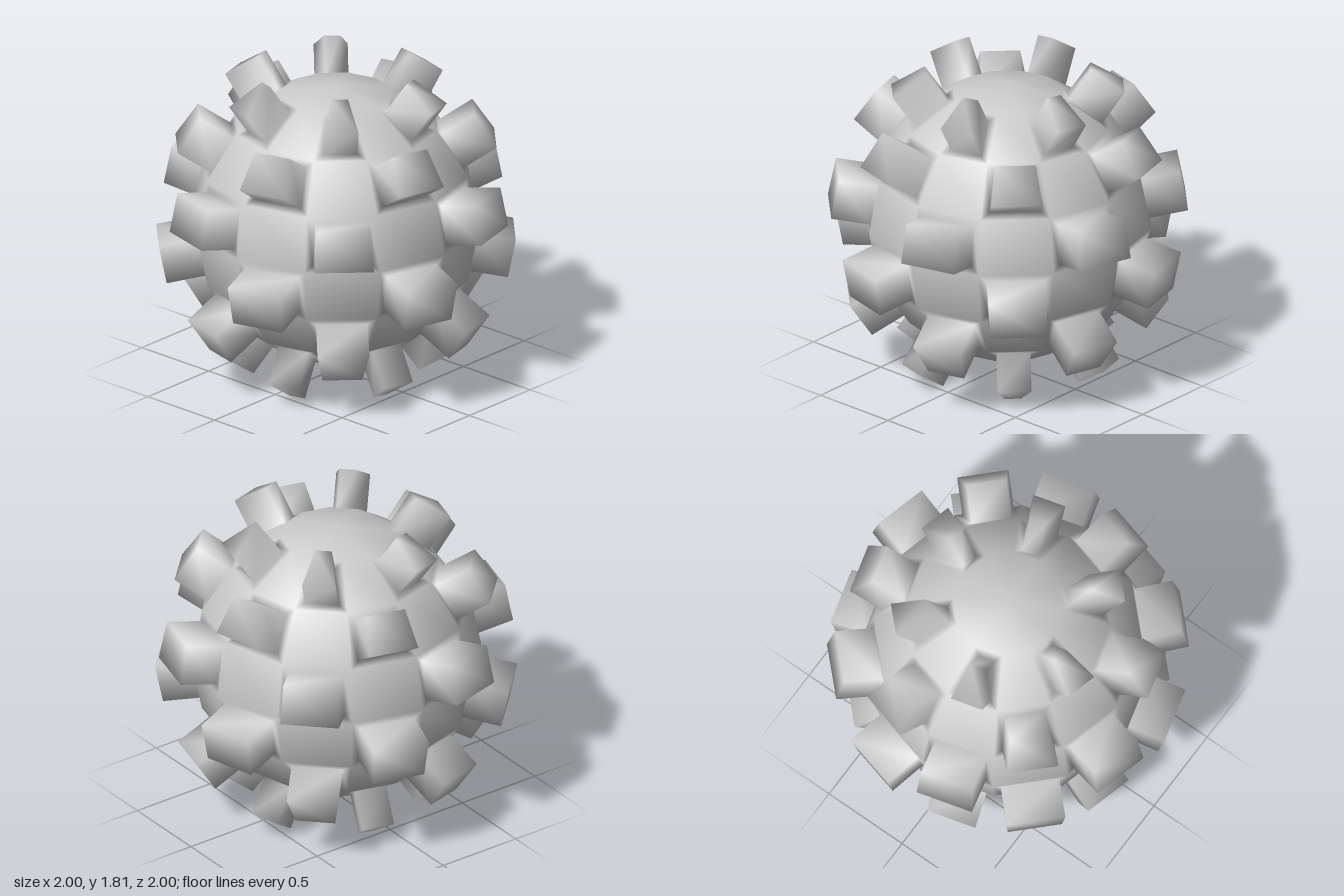
import * as THREE from 'three';

const RADIUS = 0.81, CENTRE_Y = 0.905;
const SEGMENTS = 12, RINGS = 8;
const INSET = 0.043, STUD_HEIGHT = 0.22;

// Moves each corner of a flat quad inward so every edge shifts by the same distance
function insetQuad(corners, distance) {
  return corners.map((p, i) => {
    const toNext = corners[(i + 1) % 4].clone().sub(p).normalize();
    const toPrev = corners[(i + 3) % 4].clone().sub(p).normalize();
    const sin = toNext.clone().cross(toPrev).length();
    return p.clone().addScaledVector(toNext.add(toPrev), distance / sin);
  });
}

// Coarse ball whose faces are inset and extruded in a checkerboard, with shared smooth normals
function studdedBallGeometry() {
  const points = [], index = [];
  const add = (p) => points.push(p) - 1;
  const quad = (a, b, c, d) => index.push(a, b, c, a, c, d);

  // Poles and rings of the ball
  const top = add(new THREE.Vector3(0, RADIUS, 0));
  const bottom = add(new THREE.Vector3(0, -RADIUS, 0));
  const grid = [];
  for (let j = 1; j < RINGS; j++) {
    grid[j] = [];
    for (let k = 0; k < SEGMENTS; k++) {
      grid[j].push(add(new THREE.Vector3().setFromSphericalCoords(
        RADIUS, (j / RINGS) * Math.PI, (k / SEGMENTS) * Math.PI * 2)));
    }
  }

  for (let k = 0; k < SEGMENTS; k++) {
    const n = (k + 1) % SEGMENTS;
    // Polar caps
    index.push(top, grid[1][k], grid[1][n]);
    index.push(bottom, grid[RINGS - 1][n], grid[RINGS - 1][k]);

    for (let j = 1; j < RINGS - 1; j++) {
      const face = [grid[j][k], grid[j + 1][k], grid[j + 1][n], grid[j][n]];
      if ((j + k) % 2 === 0) {
        quad(...face);
        continue;
      }
      // Stud: inset border, straight walls, flat tip
      const corners = face.map((i) => points[i]);
      const normal = corners[2].clone().sub(corners[0])
        .cross(corners[3].clone().sub(corners[1])).normalize();
      const inner = insetQuad(corners, INSET);
      const base = inner.map((p) => add(p));
      const tip = inner.map((p) => add(p.clone().addScaledVector(normal, STUD_HEIGHT)));
      for (let i = 0; i < 4; i++) {
        const m = (i + 1) % 4;
        quad(face[i], face[m], base[m], base[i]);
        quad(base[i], base[m], tip[m], tip[i]);
      }
      quad(...tip);
    }
  }

  const geometry = new THREE.BufferGeometry().setFromPoints(points);
  geometry.setIndex(index);
  geometry.computeVertexNormals();
  return geometry;
}

export function createModel() {
  const group = new THREE.Group();
  group.name = 'studdedBallModel';
  const ball = new THREE.Mesh(
    studdedBallGeometry(), new THREE.MeshStandardMaterial({ color: 0xcccccc }));
  ball.name = 'studdedBall';
  ball.position.y = CENTRE_Y;
  group.add(ball);
  return group;
}
